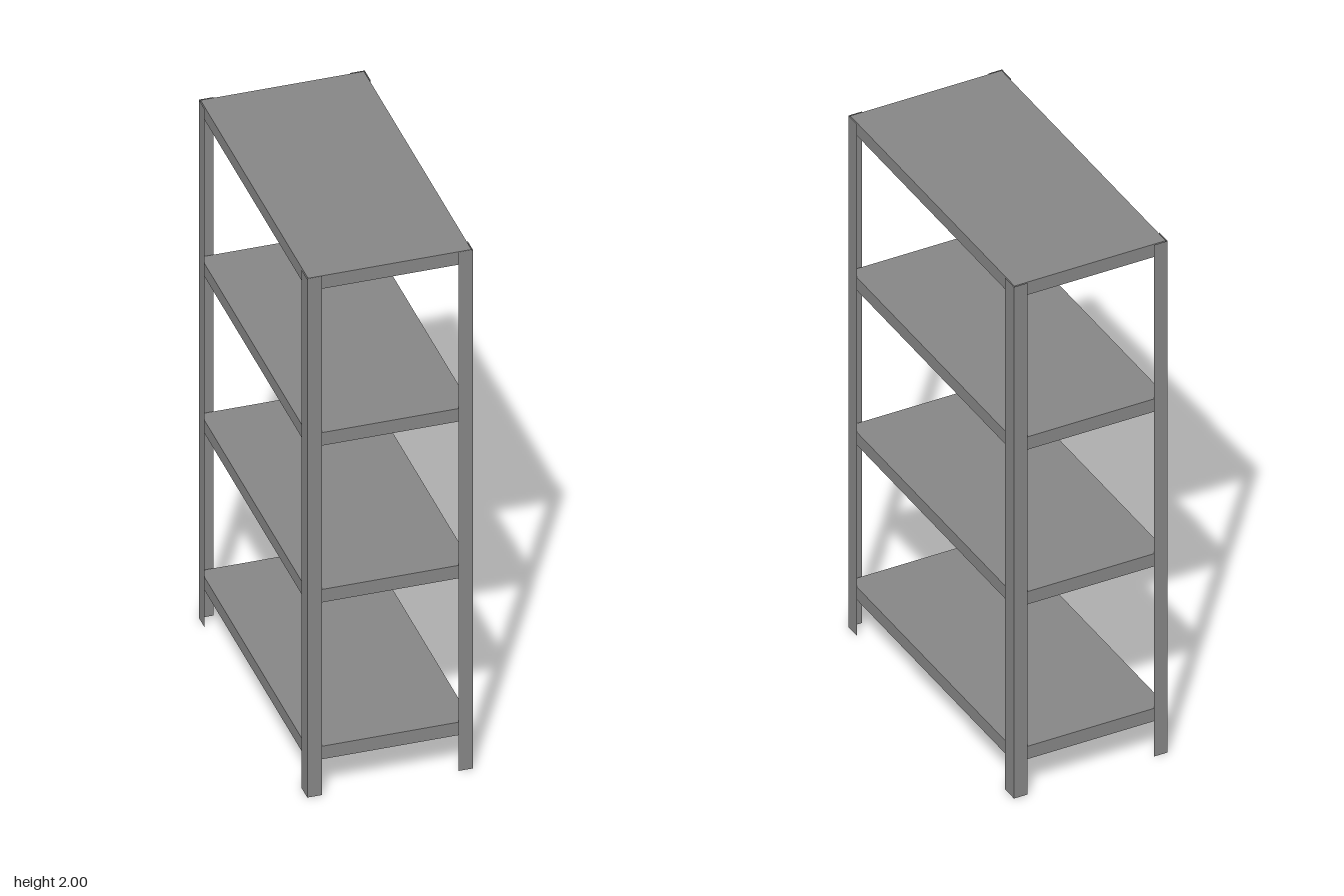
import * as THREE from 'three';

const HX = 0.283, HZ = 0.567;    // outer half width and half depth of the posts
const FX = 0.05, FZ = 0.06;      // flange widths of the angle posts
const BX = 0.279, BZ = 0.5625;   // half width and half depth of the boards
const H = 2, SHELF = 0.05;

export function createModel() {
  const model = new THREE.Group();
  model.name = 'shelvingUnit';
  const boardMat = new THREE.MeshStandardMaterial({ color: 0x858585 });
  const sheetMat = new THREE.MeshStandardMaterial({ color: 0x858585, side: THREE.DoubleSide });

  // Solid shelf boards, set just inside the posts
  const boardGeo = new THREE.BoxGeometry(2 * BX, SHELF, 2 * BZ);
  [0.185, 0.79, 1.395, H].forEach((top, i) => {
    const board = new THREE.Mesh(boardGeo, boardMat);
    board.name = `shelf${i + 1}`;
    board.position.y = top - SHELF / 2;
    model.add(board);
  });

  // Thin sheet-metal angle posts at the four corners
  const endGeo = new THREE.PlaneGeometry(FX, H);
  const sideGeo = new THREE.PlaneGeometry(FZ, H);
  for (const sx of [-1, 1]) for (const sz of [-1, 1]) {
    const post = new THREE.Group();
    post.name = (sz > 0 ? 'front' : 'back') + (sx > 0 ? 'Left' : 'Right') + 'Post';
    const endFlange = new THREE.Mesh(endGeo, sheetMat);
    endFlange.name = 'endFlange';
    endFlange.position.set(sx * (HX - FX / 2), H / 2, sz * HZ);
    endFlange.rotation.y = sz > 0 ? 0 : Math.PI;
    const sideFlange = new THREE.Mesh(sideGeo, sheetMat);
    sideFlange.name = 'sideFlange';
    sideFlange.position.set(sx * HX, H / 2, sz * (HZ - FZ / 2));
    sideFlange.rotation.y = sx * Math.PI / 2;
    post.add(endFlange, sideFlange);
    model.add(post);
  }
  return model;
}
